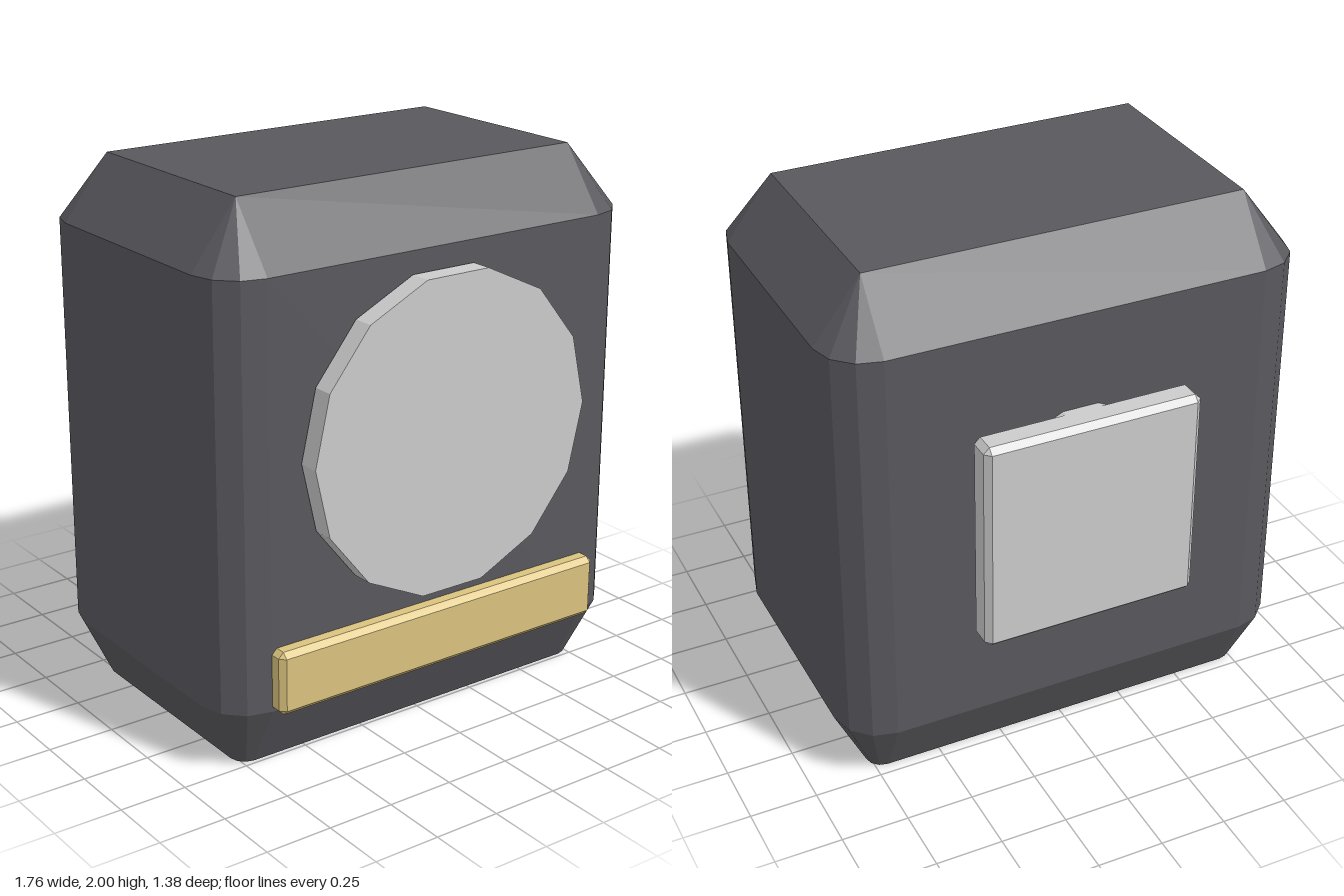
import * as THREE from 'three';
import { ConvexGeometry } from 'three/addons/geometries/ConvexGeometry.js';

const material = (color) => new THREE.MeshStandardMaterial({ color, flatShading: true });

// Rounded rectangle ring at height y, counter-clockwise seen from below
function ring(y, hx, hz, r, cz) {
  const points = [];
  [[1, 1], [-1, 1], [-1, -1], [1, -1]].forEach(([sx, sz], corner) => {
    for (let i = 0; i <= 3; i++) {
      const a = (corner + i / 3) * Math.PI / 2;
      points.push(new THREE.Vector3(
        sx * (hx - r) + r * Math.cos(a), y, cz + sz * (hz - r) + r * Math.sin(a)));
    }
  });
  return points;
}

// Skin a stack of rings from bottom to top and cap both ends
function loft(rings) {
  const positions = [];
  const tri = (a, b, c) => {
    const t = new THREE.Triangle(a, b, c);
    if (t.getArea() > 1e-7) for (const p of [a, b, c]) positions.push(p.x, p.y, p.z);
  };
  const n = rings[0].length;
  for (let k = 0; k < rings.length - 1; k++) {
    const lo = rings[k], hi = rings[k + 1];
    for (let i = 0; i < n; i++) {
      const j = (i + 1) % n;
      tri(lo[i], hi[i], hi[j]);
      tri(lo[i], hi[j], lo[j]);
    }
  }
  const bottom = rings[0], top = rings[rings.length - 1];
  for (let i = 1; i < n - 1; i++) {
    tri(bottom[0], bottom[i], bottom[i + 1]);
    tri(top[0], top[i + 1], top[i]);
  }
  const geometry = new THREE.BufferGeometry();
  geometry.setAttribute('position', new THREE.Float32BufferAttribute(positions, 3));
  geometry.computeVertexNormals();
  return geometry;
}

// Box with every edge chamfered by c
function chamferBox(w, h, d, c) {
  const points = [];
  for (const x of [-1, 1]) for (const y of [-1, 1]) for (const z of [-1, 1]) {
    for (let full = 0; full < 3; full++) {
      const inset = [0, 1, 2].map((axis) => (axis === full ? 0 : c));
      points.push(new THREE.Vector3(
        x * (w / 2 - inset[0]), y * (h / 2 - inset[1]), z * (d / 2 - inset[2])));
    }
  }
  return new ConvexGeometry(points);
}

export function createModel() {
  const group = new THREE.Group();
  const dark = material(0x59585d), grey = material(0xcccccc), gold = material(0xdac37f);

  const add = (name, geometry, mat, x, y, z) => {
    const mesh = new THREE.Mesh(geometry, mat);
    mesh.name = name;
    mesh.position.set(x, y, z);
    group.add(mesh);
    return mesh;
  };

  // Case: rounded upright corners, sloped shoulders and foot
  const cz = 0.014;
  add('body', loft([
    ring(0, 0.765, 0.47, 0.06, cz),
    ring(0.24, 0.88, 0.587, 0.176, cz),
    ring(1.77, 0.88, 0.587, 0.176, cz),
    ring(2, 0.705, 0.411, 0, cz),
  ]), dark, 0, 0, 0);

  // Fourteen-sided discs, a corner pointing to each side
  const disc = (name, radius, depth, z) => {
    const geometry = new THREE.CylinderGeometry(radius, radius, depth, 14);
    geometry.rotateY(Math.PI / 2).rotateX(Math.PI / 2);
    add(name, geometry, grey, 0, 1.12, z);
  };
  disc('frontDisc', 0.585, 0.08, 0.65);
  disc('axle', 0.3, 1.22, 0.01);

  // Strip under the disc and plate on the back
  add('frontBar', chamferBox(1.41, 0.235, 0.12, 0.02), gold, 0, 0.357, 0.6);
  add('backPlate', chamferBox(0.82, 0.82, 0.115, 0.022), grey, -0.003, 1.003, -0.632);

  return group;
}
